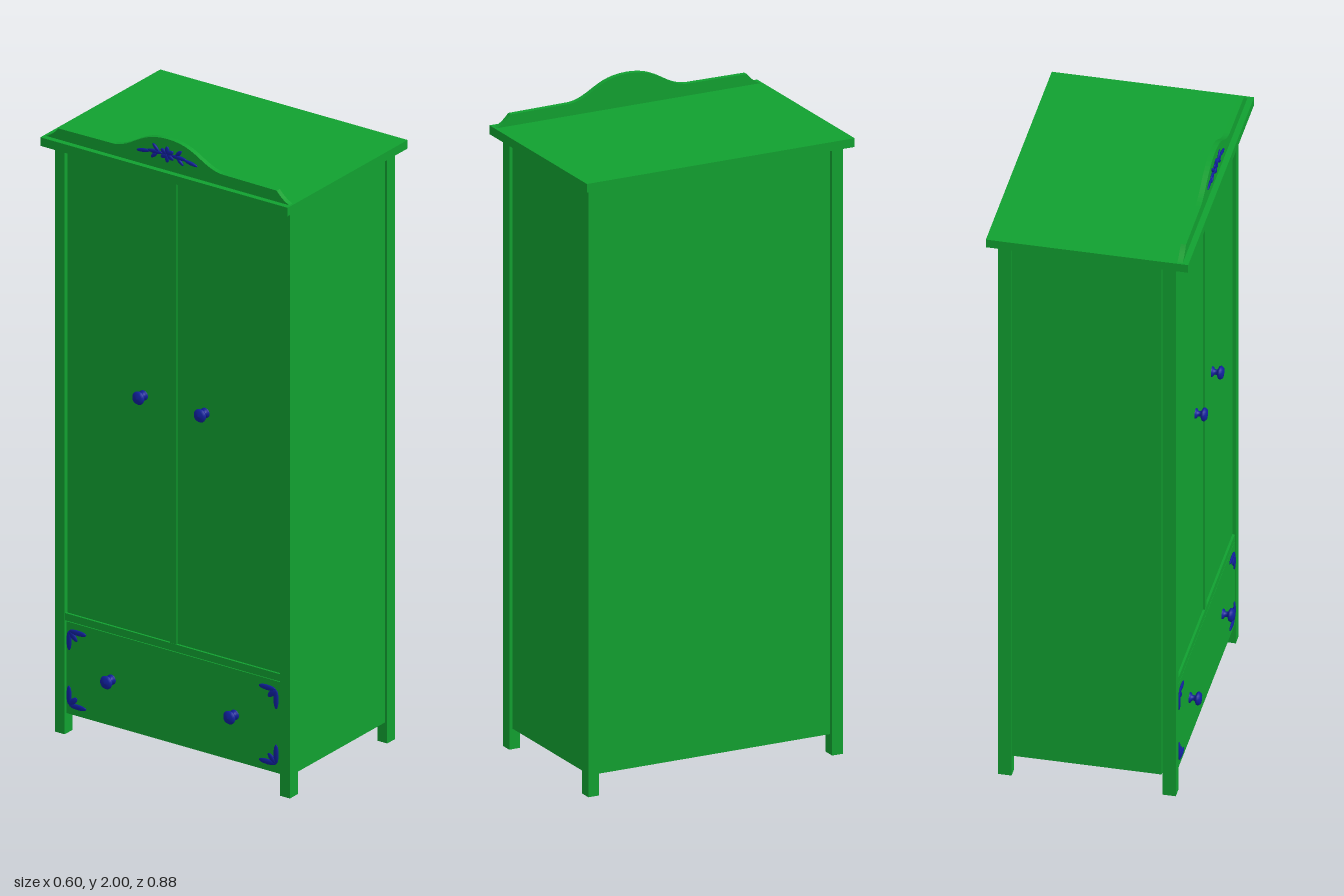
import * as THREE from 'three';

const green = new THREE.MeshStandardMaterial({ color: 0x11a030 });
const blue = new THREE.MeshStandardMaterial({ color: 0x10209c });

export function createModel() {
  const model = new THREE.Group();

  const add = (name, geometry, material = green, parent = model) => {
    const mesh = new THREE.Mesh(geometry, material);
    mesh.name = name;
    parent.add(mesh);
    return mesh;
  };
  // box given by its lower and upper bounds on each axis
  const box = (name, x0, x1, y0, y1, z0, z1) => {
    const mesh = add(name, new THREE.BoxGeometry(x1 - x0, y1 - y0, z1 - z0));
    mesh.position.set((x0 + x1) / 2, (y0 + y1) / 2, (z0 + z1) / 2);
    return mesh;
  };

  // carcass; the doors are on the -x side
  const topY = 1.873;
  for (const [s, side] of [[1, 'left'], [-1, 'right']]) {
    const a = s > 0 ? 0.385 : -0.42, b = s > 0 ? 0.42 : -0.385;
    box(side + 'DoorLeg', -0.26, -0.22, 0, topY, a, b);
    box(side + 'RearLeg', 0.23, 0.27, 0, topY, a, b);
    box(side + 'SidePanel', -0.216, 0.23, 0.065, topY, s > 0 ? 0.395 : -0.412, s > 0 ? 0.412 : -0.395);
  }
  box('backPanel', 0.248, 0.264, 0.065, topY, -0.381, 0.385);
  box('bottomPanel', -0.25, 0.25, 0.065, 0.085, -0.381, 0.39);
  box('topSlab', -0.302, 0.302, topY, 1.9, -0.442, 0.442);

  // doors, middle strip, rail and drawer
  box('rightDoor', -0.25, -0.226, 0.385, topY, -0.381, -0.002);
  box('leftDoor', -0.25, -0.226, 0.385, topY, 0.002, 0.385);
  box('doorStrip', -0.256, -0.245, 0.385, topY, -0.012, 0.012);
  box('doorRail', -0.257, -0.21, 0.362, 0.385, -0.385, 0.385);
  box('drawerFront', -0.257, -0.226, 0.068, 0.36, -0.381, 0.385);

  // curved crest board
  const s = new THREE.Shape();
  s.moveTo(-0.435, 1.9);
  s.lineTo(0.435, 1.9);
  s.quadraticCurveTo(0.41, 1.91, 0.39, 1.935);
  s.lineTo(0.19, 1.937);
  s.bezierCurveTo(0.12, 1.945, 0.1, 2, 0, 2);
  s.bezierCurveTo(-0.1, 2, -0.12, 1.945, -0.19, 1.937);
  s.lineTo(-0.39, 1.935);
  s.quadraticCurveTo(-0.41, 1.91, -0.435, 1.9);
  const crest = add('crestBoard', new THREE.ExtrudeGeometry(s, { depth: 0.016, bevelEnabled: false, curveSegments: 12 }));
  crest.rotation.y = -Math.PI / 2;
  crest.position.x = -0.268;

  // turned knobs pointing to -x
  const knobGeometry = new THREE.LatheGeometry(
    [[0.016, 0], [0.015, 0.004], [0.008, 0.008], [0.008, 0.016], [0.019, 0.021], [0.021, 0.027], [0.016, 0.034], [0, 0.037]]
      .map(([r, h]) => new THREE.Vector2(r, h)), 20);
  for (const [name, x, y, z] of [['doorKnob', -0.25, 1.145, 0.11], ['drawerKnob', -0.257, 0.215, 0.22]]) {
    for (const side of [-1, 1]) {
      const knob = add(name, knobGeometry, blue);
      knob.rotation.z = Math.PI / 2;
      knob.position.set(x, y, z * side);
    }
  }

  // flattened leaf growing from (y, z) at an angle measured from up towards +z
  const leafGeometry = new THREE.SphereGeometry(1, 12, 8);
  const leaf = (parent, y, z, angle, length, width) => {
    const mesh = add('leaf', leafGeometry, blue, parent);
    mesh.scale.set(0.004, length / 2, width / 2);
    mesh.rotation.x = angle;
    mesh.position.set(0, y + Math.cos(angle) * length / 2, z + Math.sin(angle) * length / 2);
  };

  // crest ornament: rosette with leafy sprays on both sides
  const spray = new THREE.Group();
  spray.name = 'crestOrnament';
  spray.position.set(-0.286, 1.952, 0);
  for (let i = 0; i < 6; i++) leaf(spray, 0, 0, i * Math.PI / 3, 0.026, 0.015);
  for (const side of [-1, 1]) {
    leaf(spray, 0, side * 0.015, side * 1.6, 0.055, 0.014);
    leaf(spray, 0.002, side * 0.03, side * 0.8, 0.03, 0.012);
    leaf(spray, -0.002, side * 0.035, side * 2.3, 0.03, 0.012);
    leaf(spray, -0.003, side * 0.06, side * 1.75, 0.05, 0.012);
  }
  model.add(spray);

  // drawer corner ornaments, opening towards the middle
  for (const sz of [-1, 1]) for (const sy of [-1, 1]) {
    const corner = new THREE.Group();
    corner.name = 'drawerCornerOrnament';
    corner.position.set(-0.259, 0.215 + sy * 0.118, sz * 0.37);
    for (const [tilt, length] of [[0, 0.062], [0.8, 0.04], [1.57, 0.062]]) {
      const angle = Math.atan2(-sz * Math.sin(tilt), -sy * Math.cos(tilt));
      leaf(corner, 0, 0, angle, length, 0.018);
    }
    model.add(corner);
  }

  return model;
}
